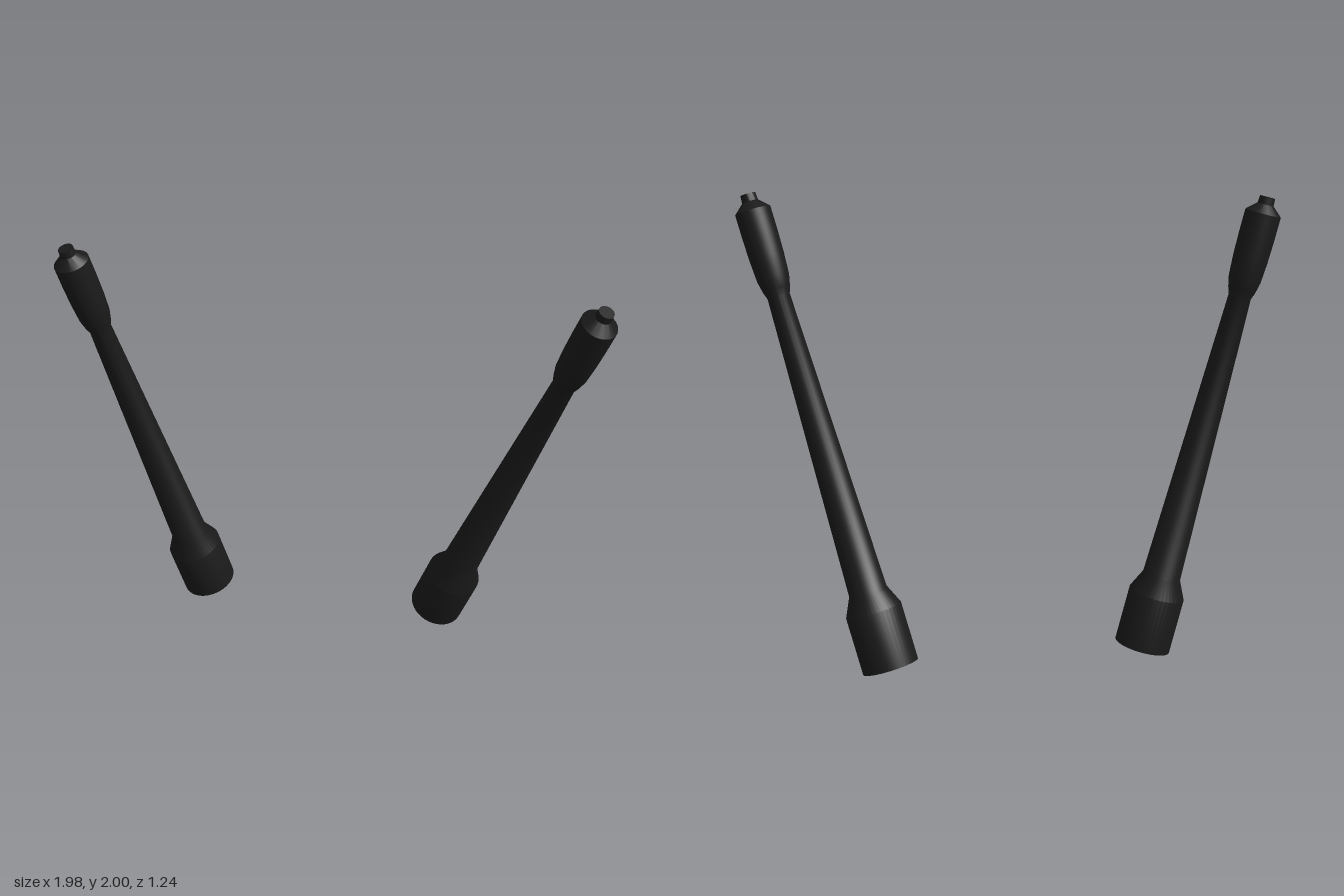
import * as THREE from 'three';
import { toCreasedNormals } from 'three/addons/utils/BufferGeometryUtils.js';

// Half profile of a baton: [radius, distance along the axis], wide end at 0
const LENGTH = 1.923;
const PROFILE = [
  [0, 0], [0.116, 0], [0.116, 0.232], [0.079, 0.31],
  [0.046, 1.512], [0.056, 1.54], [0.066, 1.585], [0.071, 1.67], [0.073, 1.76], [0.073, 1.857],
  [0.033, 1.893], [0.031, LENGTH], [0, LENGTH],
];

function createBaton(name, base, tip, girth, material) {
  const axis = tip.clone().sub(base);
  const stretch = axis.length() / LENGTH;
  const points = PROFILE.map(([r, y]) => new THREE.Vector2(r * girth, y * stretch));
  const geometry = toCreasedNormals(new THREE.LatheGeometry(points, 40), 0.45);
  const baton = new THREE.Mesh(geometry, material);
  baton.name = name;
  baton.position.copy(base);
  baton.quaternion.setFromUnitVectors(new THREE.Vector3(0, 1, 0), axis.normalize());
  return baton;
}

export function createModel() {
  const model = new THREE.Group();
  model.name = 'batonPair';
  const black = new THREE.MeshStandardMaterial({ color: 0x1a1a1a });

  // Two tilted batons, each given by the centres of its wide end and its tip
  model.add(
    createBaton('rightBaton', new THREE.Vector3(-0.416, 0.143, -0.503),
      new THREE.Vector3(-0.944, 1.992, -0.455), 1, black),
    createBaton('leftBaton', new THREE.Vector3(0.568, 0.045, -0.124),
      new THREE.Vector3(0.926, 1.949, 0.571), 1.035, black),
  );
  return model;
}
